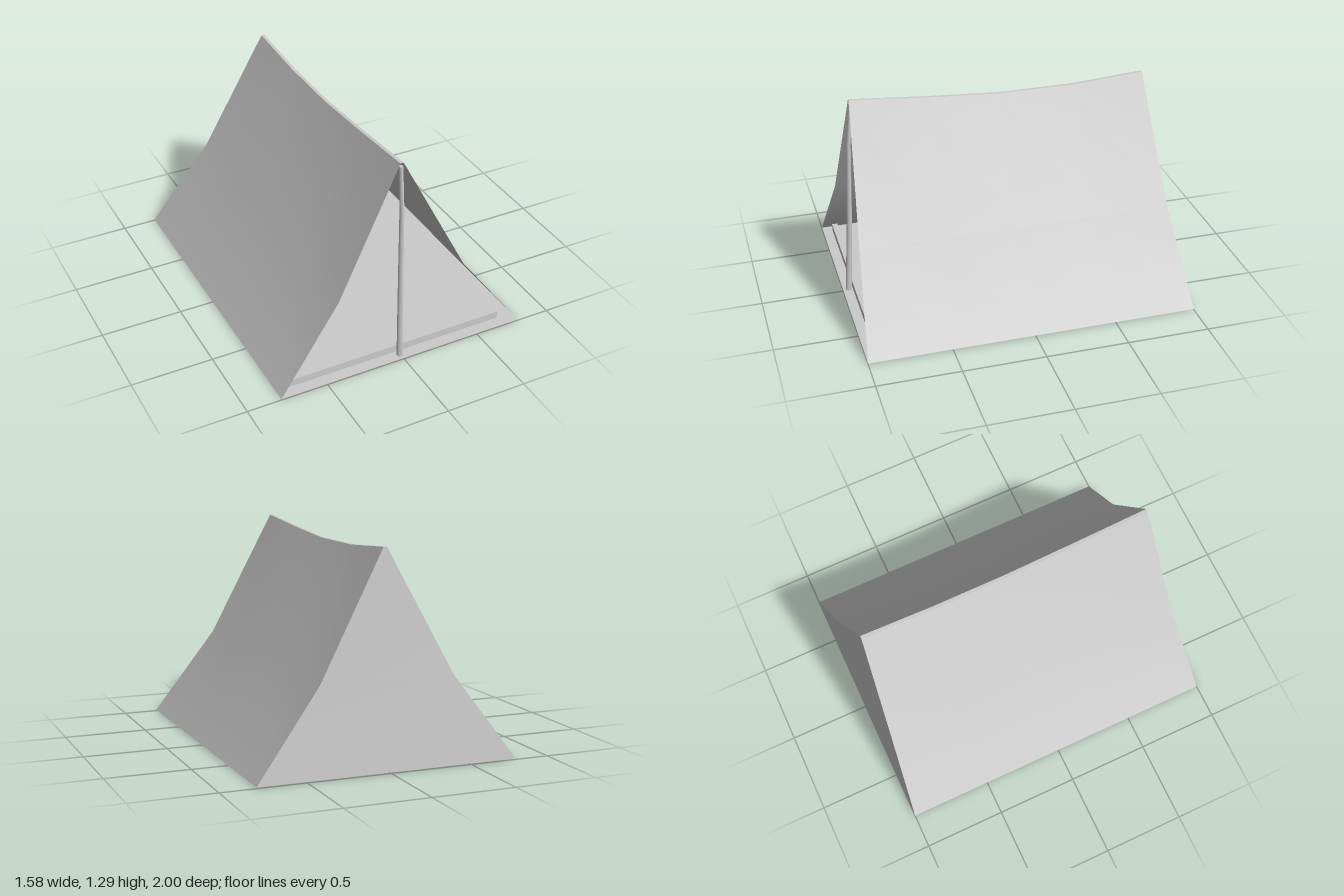
import * as THREE from 'three';

const canvas = new THREE.MeshStandardMaterial({ color: 0xcccccc, side: THREE.DoubleSide });
const wood = new THREE.MeshStandardMaterial({ color: 0xcccccc });

// Smooth sheet through equally long rows of points
function sheet(name, rows) {
  const n = rows[0].length, index = [];
  for (let r = 0; r < rows.length - 1; r++) {
    for (let c = 0; c < n - 1; c++) {
      const a = r * n + c, b = a + 1, d = a + n, e = d + 1;
      index.push(a, b, e, a, e, d);
    }
  }
  const geometry = new THREE.BufferGeometry();
  geometry.setAttribute('position', new THREE.Float32BufferAttribute(rows.flat(2), 3));
  geometry.setIndex(index);
  geometry.computeVertexNormals();
  const mesh = new THREE.Mesh(geometry, canvas);
  mesh.name = name;
  return mesh;
}

export function createModel() {
  const tent = new THREE.Group();
  tent.name = 'tent';

  // Stations from front to back: fraction of the length and sagging ridge height
  const stations = [[1, 1.29], [0.48, 1.25], [0, 1.22], [-0.5, 1.22], [-1, 1.25]];
  const ridgeHalf = 0.01, floorY = 0.006;

  // Half cross-section: hem, bend and ridge, pulled in towards the ridge
  const section = (side, [t, top]) => [
    [side * 0.79, floorY, t],
    [side * 0.405, 0.52, t * 0.95],
    [side * ridgeHalf, top, t * 0.9],
  ];

  // Sloping side walls; rows run so that faces point outwards
  const back = stations.slice().reverse();
  tent.add(sheet('leftWall', stations.map((s) => section(1, s).reverse())));
  tent.add(sheet('rightWall', back.map((s) => section(-1, s).reverse())));

  // Narrow strip along the ridge
  tent.add(sheet('ridge', stations.map(([t, top]) => [
    [-ridgeHalf, top, t * 0.9], [ridgeHalf, top, t * 0.9],
  ]).reverse().map((row) => row.reverse())));

  // Closed back wall
  const end = stations[stations.length - 1];
  const l = section(1, end), r = section(-1, end);
  tent.add(sheet('backWall', l.map((p, i) => [p, r[i]])));

  // Ground sheet
  tent.add(sheet('floor', [
    [[-0.79, floorY, 1], [0.79, floorY, 1]],
    [[-0.79, floorY, -1], [0.79, floorY, -1]],
  ]));

  // Slightly bent front pole, tapering towards the top
  const joints = [
    [-0.007, 0, 0.963, 0.02], [-0.003, 0.5, 0.935, 0.016],
    [0, 1.0, 0.915, 0.014], [0, 1.265, 0.889, 0.013],
  ];
  const pole = new THREE.CylinderGeometry(1, 1, 1, 8, joints.length - 1);
  const p = pole.attributes.position;
  for (let i = 0; i < p.count; i++) {
    const [x, y, z, radius] = joints[Math.round((p.getY(i) + 0.5) * (joints.length - 1))];
    p.setXYZ(i, x + p.getX(i) * radius, y, z + p.getZ(i) * radius);
  }
  pole.computeVertexNormals();
  const frontPole = new THREE.Mesh(pole, wood);
  frontPole.name = 'frontPole';
  tent.add(frontPole);

  // Low bar across the entrance
  const bar = new THREE.Mesh(new THREE.BoxGeometry(1.39, 0.045, 0.035), wood);
  bar.name = 'entranceBar';
  bar.position.set(-0.017, 0.044, 0.925);
  tent.add(bar);

  return tent;
}
